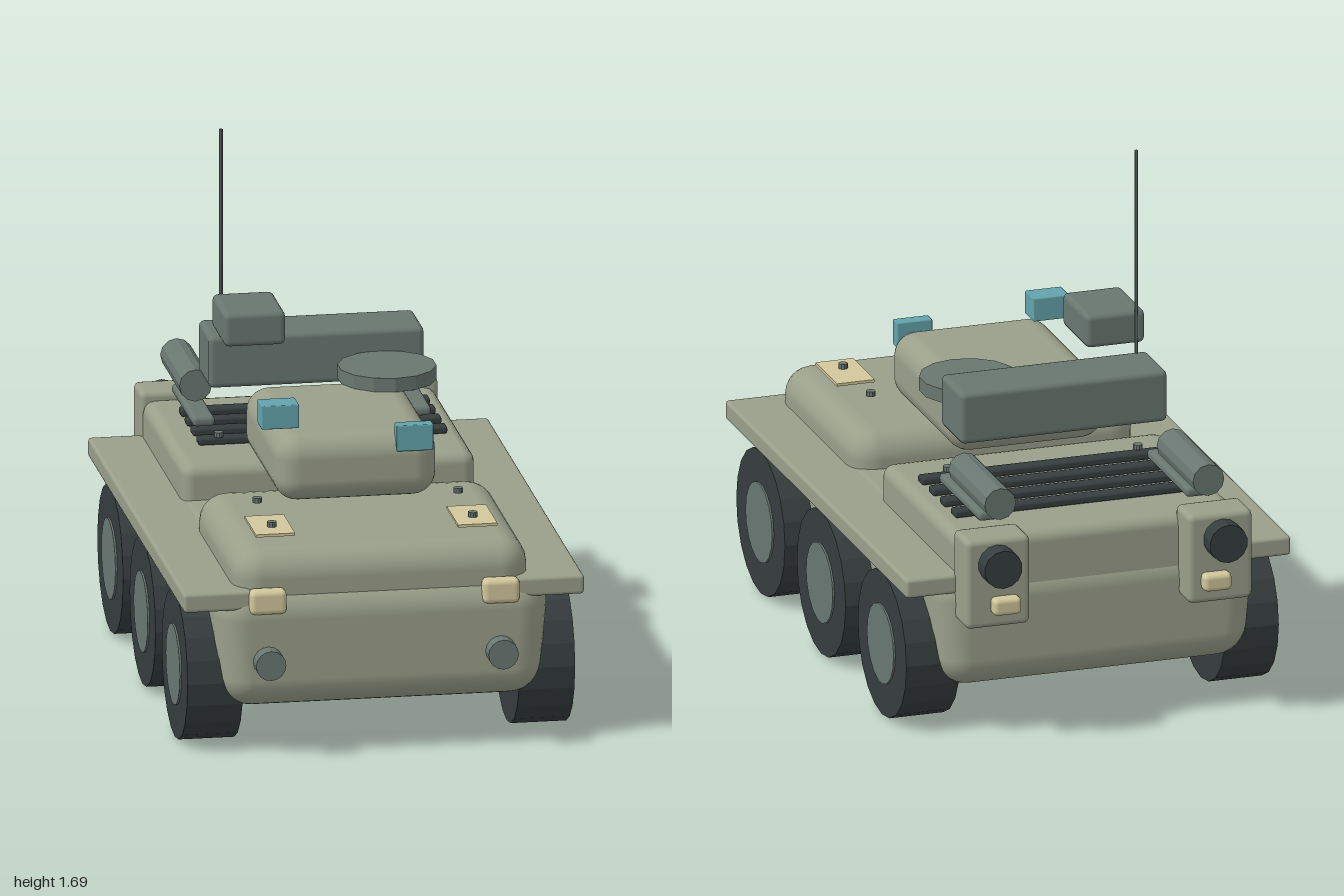
import * as THREE from 'three';
import { RoundedBoxGeometry } from 'three/addons/geometries/RoundedBoxGeometry.js';
import { toCreasedNormals } from 'three/addons/utils/BufferGeometryUtils.js';

const paint = (name, color) => {
  const m = new THREE.MeshStandardMaterial({ color });
  m.name = name;
  return m;
};

export function createModel() {
  const hullPaint = paint('hull olive', 0x9a9f8a);
  const metal = paint('grey metal', 0x697771);
  const rubber = paint('dark rubber', 0x363d3e);
  const sand = paint('sand', 0xd2c79c);
  const glass = paint('teal glass', 0x63a3ac);

  const model = new THREE.Group();
  model.name = 'armouredVehicle';

  const add = (name, geometry, material, x = 0, y = 0, z = 0) => {
    const mesh = new THREE.Mesh(geometry, material);
    mesh.name = name;
    mesh.position.set(x, y, z);
    model.add(mesh);
    return mesh;
  };

  // Rounded block given by its limits on each axis
  const block = (name, mat, [x0, x1], [y0, y1], [z0, z1], radius = 0.01, segments = 2) =>
    add(name, new RoundedBoxGeometry(x1 - x0, y1 - y0, z1 - z0, segments, radius), mat,
      (x0 + x1) / 2, (y0 + y1) / 2, (z0 + z1) / 2);

  // Cylinder along an axis, with sharp rims
  const rod = (name, mat, axis, r, length, sides, x, y, z) => {
    const g = new THREE.CylinderGeometry(r, r, length, sides);
    if (axis === 'x') g.rotateZ(Math.PI / 2);
    if (axis === 'z') g.rotateX(Math.PI / 2);
    return add(name, toCreasedNormals(g, 0.3), mat, x, y, z);
  };

  // Limits of a part on the left (s = 1) or right (s = -1)
  const side = (s, a, b) => (s > 0 ? [a, b] : [-b, -a]);

  // Hull, narrowing slightly towards the belly
  const hull = block('hull', hullPaint, [-0.53, 0.53], [0.155, 0.553], [-0.845, 0.952], 0.1, 4);
  const p = hull.geometry.attributes.position;
  for (let i = 0; i < p.count; i++) {
    const k = 1 - 0.06 * Math.max(0, 0.1 - p.getY(i));
    p.setX(i, p.getX(i) * (k - (1 - k) * 1.5));
    p.setZ(i, p.getZ(i) * k);
  }

  // Raised decks
  block('frontDeck', hullPaint, [-0.47, 0.47], [0.42, 0.667], [0.165, 0.92], 0.09, 3);
  block('rearDeck', hullPaint, [-0.467, 0.467], [0.46, 0.667], [-0.835, -0.07], 0.04, 2);

  // Turret and its equipment
  block('turret', hullPaint, [-0.26, 0.255], [0.685, 0.903], [-0.163, 0.475], 0.075, 4);
  block('turretRearBox', metal, [-0.345, 0.34], [0.85, 1.02], [-0.49, -0.285], 0.018);
  block('sightBox', metal, [-0.335, -0.14], [1.05, 1.16], [-0.3, -0.06], 0.018);
  rod('hatch', metal, 'y', 0.156, 0.045, 14, 0.195, 0.925, -0.135);
  rod('antenna', metal, 'y', 0.006, 0.7, 8, -0.305, 1.345, -0.3);
  block('rightPeriscope', glass, [-0.3, -0.18], [0.92, 0.997], [0.335, 0.42], 0.004, 1);
  block('leftPeriscope', glass, [0.12, 0.237], [0.845, 0.93], [0.435, 0.48], 0.004, 1);

  // Engine grille
  for (let i = 0; i < 4; i++) {
    const z = -0.302 - i * 0.107;
    block('grilleBar', rubber, [-0.38, 0.413], [0.668, 0.692], [z - 0.025, z + 0.025], 0.008);
  }

  for (const s of [1, -1]) {
    block('fender', hullPaint, side(s, 0.42, 0.638), [0.487, 0.55], [-0.83, 0.938], 0.012);

    // Wheels with hubs
    for (const z of [0.65, 0.06, -0.533]) {
      rod('tyre', rubber, 'x', 0.237, 0.177, 20, s * 0.5285, 0.238, z);
      rod('hub', metal, 'x', 0.13, 0.185, 18, s * 0.5305, 0.238, z);
    }

    // Nose fittings
    block('headlamp', sand, side(s, 0.312, 0.43), [0.475, 0.555], [0.91, 0.965], 0.018);
    rod('noseLamp', metal, 'z', 0.048, 0.09, 16, s * 0.37, 0.32, 0.955);

    // Deck plates and bolts
    add('deckPlate', new THREE.BoxGeometry(0.125, 0.009, 0.21), sand, s * 0.322, 0.688, 0.695);
    for (const [x, z] of [[0.32, 0.72], [0.32, 0.45], [0.315, -0.285]]) {
      rod('bolt', metal, 'y', 0.015, 0.016, 10, s * x, 0.702, z);
    }

    // Launch tubes on their rails
    rod('launchTube', metal, 'z', 0.052, 0.353, 12, s * 0.345, 0.79, -0.709);
    block('tubeRail', metal, side(s, 0.308, 0.38), [0.697, 0.73], [-0.778, -0.385], 0.014);

    // Rear boxes with exhausts and tail lights
    block('rearBox', hullPaint, side(s, 0.262, 0.475), [0.4, 0.695], [-0.937, -0.802], 0.02);
    rod('exhaust', rubber, 'z', 0.063, 0.09, 14, s * 0.373, 0.613, -0.955);
    block('tailLight', sand, side(s, 0.302, 0.395), [0.448, 0.505], [-0.975, -0.925], 0.016);
  }

  return model;
}
